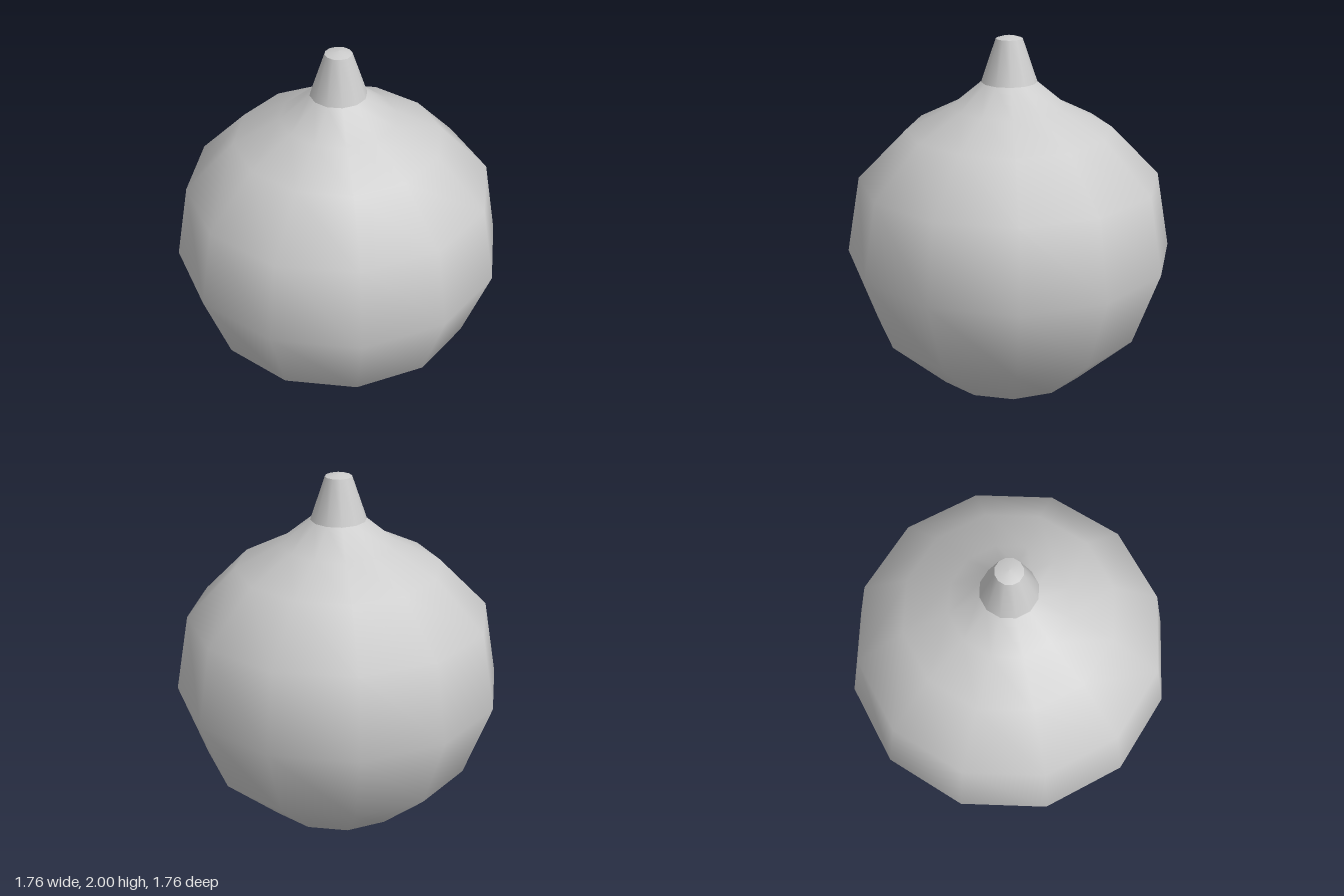
import * as THREE from 'three';

const SIDES = 12;

// Revolve a bottom-to-top [radius, height] profile; normals are smooth within each part
function turned(name, profile, material) {
  const points = profile.map(([r, y]) => new THREE.Vector2(r, y));
  const mesh = new THREE.Mesh(new THREE.LatheGeometry(points, SIDES), material);
  mesh.name = name;
  return mesh;
}

export function createModel() {
  const group = new THREE.Group();
  group.name = 'bulb';
  const material = new THREE.MeshStandardMaterial({ color: 0xcccccc });

  // Round body, pointed underneath and flaring in towards the neck
  group.add(turned('body', [
    [0, 0], [0.42, 0.115], [0.735, 0.415], [0.88, 0.83],
    [0.805, 1.245], [0.543, 1.51], [0.305, 1.63], [0.147, 1.76],
  ], material));

  // Tapered neck with a crease where it meets the body
  group.add(turned('neck', [[0.147, 1.76], [0.07, 1.986]], material));

  // Shallow domed cap closing the neck
  group.add(turned('cap', [[0.07, 1.986], [0.035, 1.997], [0, 2]], material));

  return group;
}
